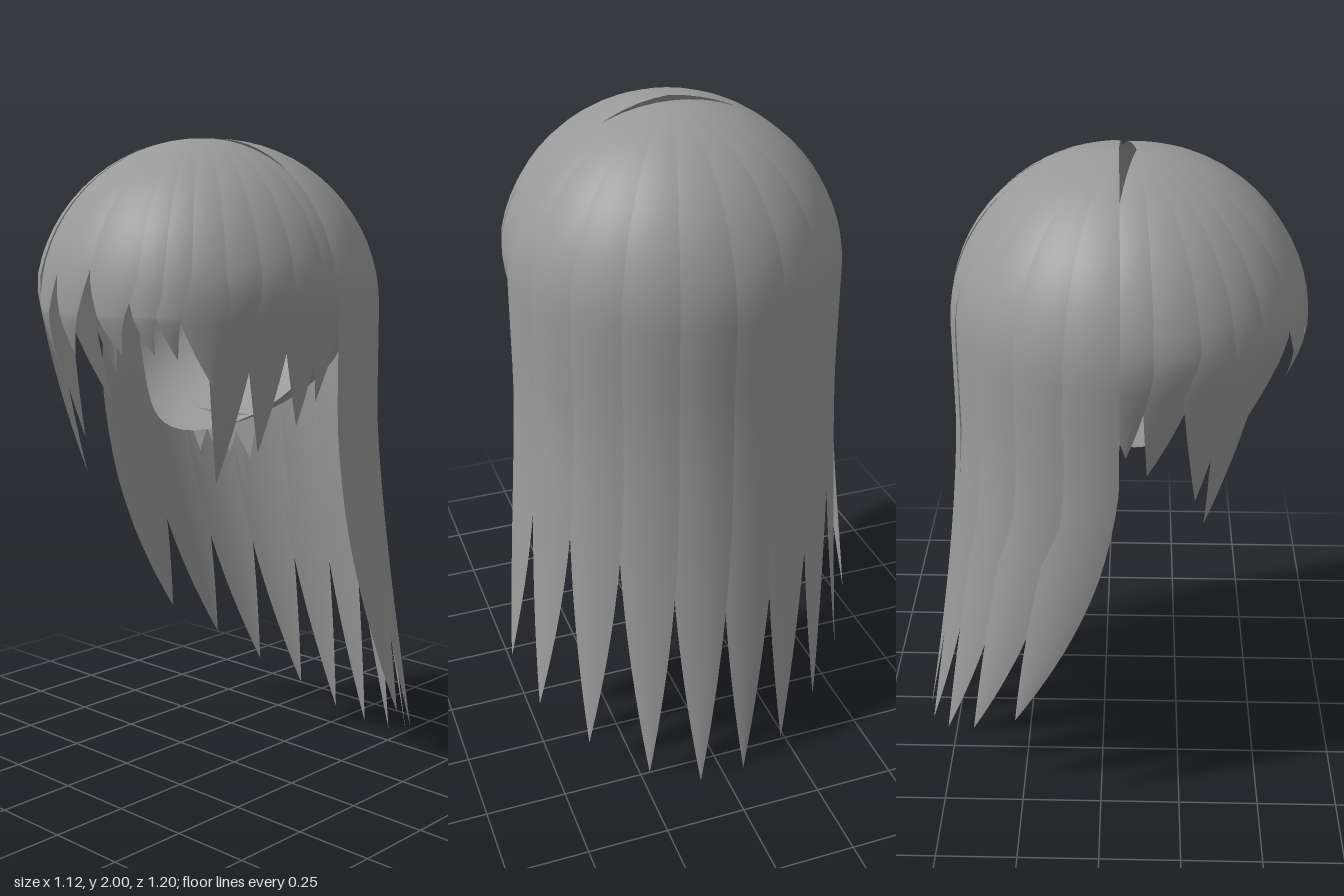
import * as THREE from 'three';

const hair = new THREE.MeshStandardMaterial({ color: 0x999999, side: THREE.DoubleSide });
hair.name = 'grey hair';

const RAD = Math.PI / 180;
const clamp01 = (v) => Math.min(1, Math.max(0, v));
const DOME_Y = 1.5;

// One lock: runs from the crown over a dome, hangs, then narrows and swings to its tip.
// az is in degrees from +x towards +z; shell gives the dome centre and radii.
function lock(name, shell, az, half, tip, taperY, swingY, power) {
  const cols = 8, domeRows = 16, rows = 34;
  const geo = new THREE.PlaneGeometry(1, 1, cols, rows);
  const pos = geo.attributes.position;
  const endX = shell.x + shell.rx * Math.cos(az * RAD);
  const endZ = shell.z + shell.rz * Math.sin(az * RAD);
  for (let j = 0; j <= rows; j++) {
    let r = 1, y;
    if (j <= domeRows) {
      const phi = (j / domeRows) * Math.PI / 2;
      r = Math.sin(phi);
      y = DOME_Y + (2 - DOME_Y) * Math.cos(phi);
    } else {
      const t = (j - domeRows) / (rows - domeRows);
      y = DOME_Y + (tip[1] - DOME_Y) * (1 - (1 - t) ** 1.3);
    }
    const width = 1 - clamp01((taperY - y) / (taperY - tip[1])) ** power;
    const swing = clamp01((swingY - y) / (swingY - tip[1])) ** 1.4;
    for (let i = 0; i <= cols; i++) {
      const u = (i / cols) * 2 - 1;
      const a = (az - u * half * width) * RAD;
      // slight bulge and tilt so neighbouring locks overlap cleanly
      const q = r * (1 + width * (0.012 * (1 - u * u) + 0.008 * u - 0.006));
      pos.setXYZ(j * (cols + 1) + i,
        shell.x + shell.rx * q * Math.cos(a) + (tip[0] - endX) * swing,
        y,
        shell.z + shell.rz * q * Math.sin(a) + (tip[2] - endZ) * swing);
    }
  }
  geo.computeVertexNormals();
  const mesh = new THREE.Mesh(geo, hair);
  mesh.name = name;
  return mesh;
}

export function createModel() {
  const model = new THREE.Group();
  model.name = 'longHair';

  // Long back curtain, from the left side round to the right
  const back = new THREE.Group();
  back.name = 'backHair';
  const backShell = { x: -0.045, z: 0.04, rx: 0.512, rz: 0.49 };
  const backTips = [
    [0.56, 0.28, -0.13], [0.51, 0.18, -0.27], [0.39, 0.1, -0.41], [0.23, 0.03, -0.53],
    [0.08, 0, -0.59], [-0.06, 0.02, -0.6], [-0.2, 0.08, -0.57], [-0.34, 0.16, -0.5],
    [-0.46, 0.26, -0.4], [-0.55, 0.37, -0.26],
  ];
  backTips.forEach((tip, i) => back.add(
    lock('backLock', backShell, -9 - 18 * i, 10.5, tip, 0.95, 1.2, 1.8)));
  model.add(back);

  // Fringe over the forehead: azimuth, half width, tip
  const frontShell = { x: -0.05, z: 0.09, rx: 0.505, rz: 0.505 };
  const fringe = new THREE.Group();
  fringe.name = 'fringe';
  [
    [112, 10.5, [-0.24, 1.39, 0.52]], [95, 10.5, [-0.1, 1.38, 0.56]],
    [76, 11, [0.09, 1.39, 0.55]], [64, 8, [0.18, 1.39, 0.51]],
    [56, 8, [0.23, 1.38, 0.47]],
  ].forEach(([a, h, tip]) => fringe.add(
    lock('fringeLock', frontShell, a, h, tip, 1.66, 1.5, 1.3)));
  model.add(fringe);

  // Longer locks framing the face on both sides
  const sides = new THREE.Group();
  sides.name = 'sideLocks';
  [
    [-2, 8, [0.39, 1.24, 0.07]], [10, 9, [0.36, 1.17, 0.12]],
    [23, 9, [0.31, 1.1, 0.23]], [35, 9, [0.2, 1.0, 0.29]],
    [46, 9, [0.29, 1.3, 0.39]],
    [130, 10, [-0.38, 1.25, 0.36]], [144, 9, [-0.36, 0.97, 0.3]],
    [156, 9, [-0.4, 1.07, 0.27]], [168, 9, [-0.43, 1.17, 0.13]],
    [182, 8, [-0.47, 1.25, 0.07]],
  ].forEach(([a, h, tip]) => sides.add(
    lock('sideLock', frontShell, a, h, tip, 1.55, 1.6, 1.3)));
  model.add(sides);

  // Inner layer: back half of a bowl whose bottom slides forward under the nape
  const bowlGeo = new THREE.SphereGeometry(1, 28, 18, 0, Math.PI, Math.PI * 0.35, Math.PI * 0.65);
  const p = bowlGeo.attributes.position;
  for (let i = 0; i < p.count; i++) {
    const y = p.getY(i), depth = Math.max(0, -y);
    p.setXYZ(i, -0.06 + 0.41 * p.getX(i), 1.5 + 0.38 * y,
      -0.02 - 0.37 * Math.abs(p.getZ(i)) + 0.19 * depth ** 3);
  }
  // z was mirrored, so swap corners to keep faces outward
  const idx = bowlGeo.index.array;
  for (let i = 0; i < idx.length; i += 3) [idx[i], idx[i + 1]] = [idx[i + 1], idx[i]];
  bowlGeo.computeVertexNormals();
  const bowl = new THREE.Mesh(bowlGeo, hair);
  bowl.name = 'innerHair';
  model.add(bowl);

  // Ragged wisps at the nape
  const wisps = new THREE.Shape();
  wisps.moveTo(-0.21, 1.16);
  [[-0.2, 1.1], [-0.16, 1.02], [-0.13, 1.1], [-0.09, 1.03], [-0.06, 1.1], [-0.03, 1.03],
    [0, 1.1], [0.06, 1.02], [0.08, 1.12], [0.09, 1.16]].forEach(([x, y]) => wisps.lineTo(x, y));
  const nape = new THREE.Mesh(new THREE.ShapeGeometry(wisps), hair);
  nape.position.z = -0.01;
  nape.name = 'napeWisps';
  model.add(nape);

  return model;
}
